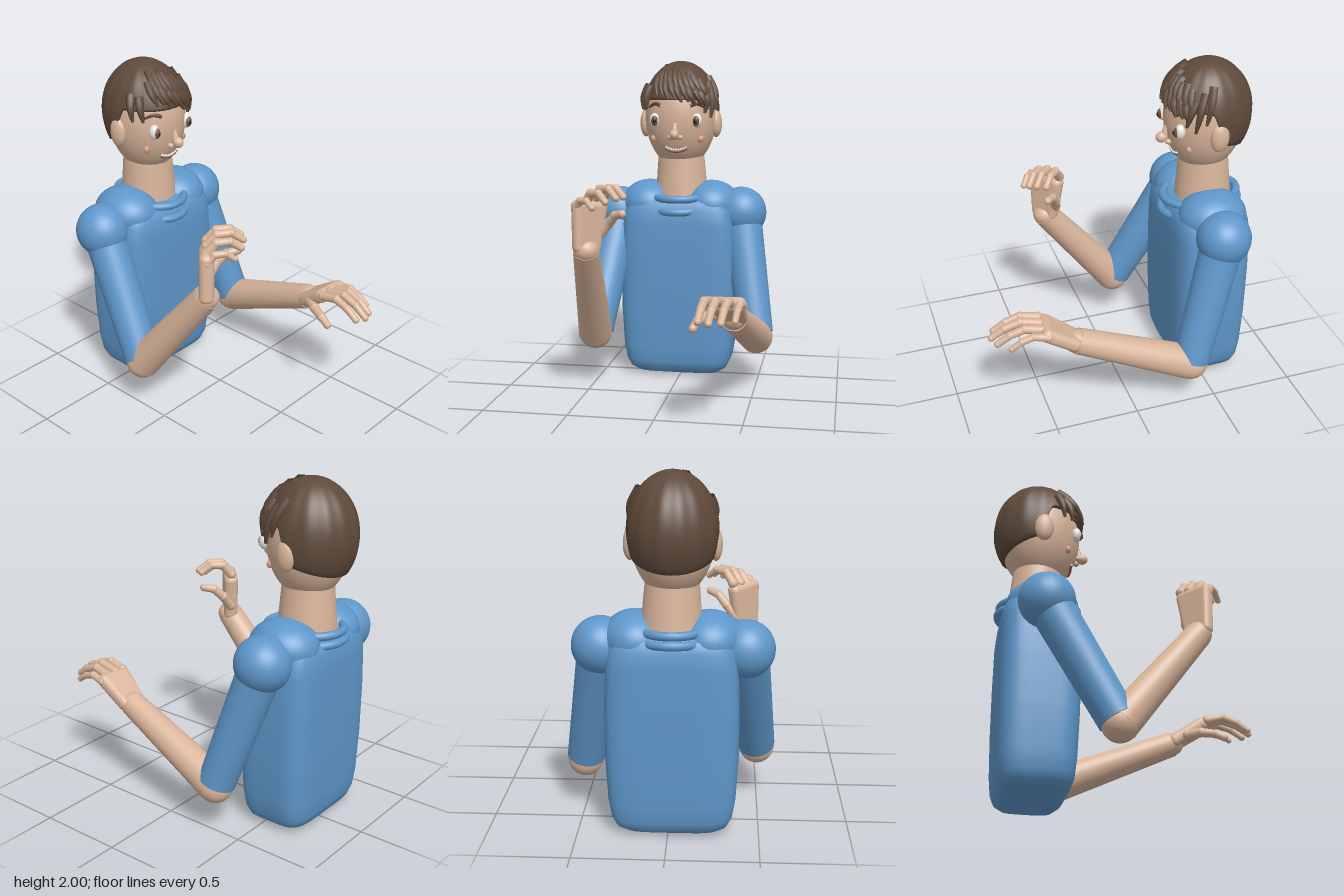
import * as THREE from 'three';
import { RoundedBoxGeometry } from 'three/addons/geometries/RoundedBoxGeometry.js';

const mat = (color, side = THREE.FrontSide) => new THREE.MeshStandardMaterial({ color, side });
const V = (x, y, z) => new THREE.Vector3(x, y, z);
const UP = V(0, 1, 0);

export function createModel() {
  const root = new THREE.Group();
  const skin = mat(0xd9b59b), shirt = mat(0x5f97ca), brown = mat(0x5f4a3b, THREE.DoubleSide);
  const white = mat(0xe8e6e2), iris = mat(0x7a5238), dark = mat(0x2a211c), blush = mat(0xd99c86), lip = mat(0xa8655a);

  const add = (parent, name, geo, material) => {
    const m = new THREE.Mesh(geo, material);
    m.name = name;
    parent.add(m);
    return m;
  };
  const ball = (parent, name, p, rx, ry, rz, material, seg = 24) => {
    const m = add(parent, name, new THREE.SphereGeometry(1, seg, Math.round(seg * 0.7)), material);
    m.position.copy(p);
    m.scale.set(rx, ry, rz);
    return m;
  };
  // Tapered cylinder between two points
  const limb = (parent, name, a, b, ra, rb, material, seg = 28) => {
    const d = b.clone().sub(a);
    const m = add(parent, name, new THREE.CylinderGeometry(rb, ra, d.length(), seg), material);
    m.position.copy(a).addScaledVector(d, 0.5);
    m.quaternion.setFromUnitVectors(UP, d.normalize());
    return m;
  };
  // Closed rings stacked from bottom to top; at(i, t) gives a point
  const loft = (rows, cols, at) => {
    const pos = [], idx = [];
    for (let i = 0; i < rows; i++) for (let j = 0; j < cols; j++) {
      pos.push(...at(i, (j / cols) * Math.PI * 2));
      if (i < rows - 1) {
        const k = (j + 1) % cols, a = i * cols + j, b = i * cols + k;
        idx.push(a, a + cols, b, b, a + cols, b + cols);
      }
    }
    const g = new THREE.BufferGeometry();
    g.setAttribute('position', new THREE.Float32BufferAttribute(pos, 3));
    g.setIndex(idx);
    g.computeVertexNormals();
    return g;
  };
  // Round strand that narrows toward its tip
  const strand = (parent, name, pts, r, tip, material) => {
    const n = 10, sides = 8;
    const curve = new THREE.CatmullRomCurve3(pts), geo = new THREE.TubeGeometry(curve, n, r, sides);
    const p = geo.attributes.position, v = V(0, 0, 0);
    for (let i = 0; i < p.count; i++) {
      const t = Math.floor(i / (sides + 1)) / n, c = curve.getPointAt(t);
      v.fromBufferAttribute(p, i).sub(c).multiplyScalar(1 + (tip - 1) * t * t).add(c);
      p.setXYZ(i, v.x, v.y, v.z);
    }
    geo.computeVertexNormals();
    return add(parent, name, geo, material);
  };

  // Torso: rounded-square sections [y, half width, half depth]
  const body = new THREE.Group();
  body.name = 'body';
  root.add(body);
  const sections = [[0.005, 0, 0], [0.008, 0.18, 0.1], [0.02, 0.265, 0.155], [0.05, 0.31, 0.19], [0.1, 0.335, 0.208],
    [0.2, 0.352, 0.218], [0.45, 0.366, 0.226], [0.75, 0.366, 0.23], [0.98, 0.355, 0.23], [1.07, 0.34, 0.222],
    [1.12, 0.31, 0.2], [1.15, 0.26, 0.165], [1.16, 0, 0]];
  const sq = (c) => Math.sign(c) * Math.pow(Math.abs(c), 0.42);
  add(body, 'torso', loft(sections.length, 64, (i, t) => {
    const [y, w, d] = sections[i];
    return [-0.02 + w * sq(Math.cos(t)), y, -0.562 + d * sq(Math.sin(t))];
  }), shirt);
  for (const s of [-1, 1]) ball(body, 'shoulderPad', V(-0.02 + s * 0.2, 1.1, -0.565), 0.18, 0.15, 0.205, shirt, 32);
  // Collar: two rolled rings
  for (const [y, rx, rz, sag] of [[1.155, 0.18, 0.225, 0.01], [1.09, 0.19, 0.235, 0.025]]) {
    const pts = [];
    for (let i = 0; i < 24; i++) {
      const a = (i / 24) * Math.PI * 2;
      pts.push(V(-0.02 + rx * Math.cos(a), y - sag * Math.sin(a), -0.563 + rz * Math.sin(a)));
    }
    add(body, 'collar', new THREE.TubeGeometry(new THREE.CatmullRomCurve3(pts, true), 64, 0.024, 10, true), shirt);
  }
  limb(body, 'neck', V(-0.015, 1.1, -0.58), V(-0.02, 1.45, -0.575), 0.172, 0.142, skin, 36);

  // Head
  const head = new THREE.Group();
  head.name = 'head';
  root.add(head);
  const HC = V(-0.022, 1.66, -0.57), HR = V(0.226, 0.335, 0.237);
  const onFace = (dx, y, out = 0) => {
    const k = 1 - (dx / HR.x) ** 2 - ((y - HC.y) / HR.y) ** 2;
    return V(HC.x + dx, y, HC.z + HR.z * Math.sqrt(Math.max(k, 0)) + out);
  };
  ball(head, 'skull', HC, HR.x, HR.y, HR.z, skin, 48);
  ball(head, 'nose', onFace(0, 1.55, 0.035), 0.03, 0.032, 0.035, skin);
  limb(head, 'noseBridge', onFace(0, 1.55, 0.02), onFace(0, 1.62, -0.005), 0.024, 0.012, skin, 16);
  for (const s of [-1, 1]) {
    ball(head, 'nostril', onFace(s * 0.032, 1.532, 0.012), 0.018, 0.016, 0.02, skin, 16);
    ball(head, 'ear', V(HC.x + s * 0.226, 1.61, -0.575), 0.036, 0.088, 0.056, skin);
    ball(head, 'eye', onFace(s * 0.132, 1.635, 0.008), 0.032, 0.045, 0.03, white);
    ball(head, 'iris', onFace(s * 0.13, 1.633, 0.024), 0.021, 0.032, 0.021, iris);
    ball(head, 'pupil', onFace(s * 0.128, 1.633, 0.037), 0.01, 0.016, 0.011, dark, 16);
    ball(head, 'cheek', onFace(s * 0.148, 1.52, 0.0), 0.021, 0.024, 0.017, blush, 16);
    strand(head, 'eyebrow', [onFace(s * 0.09, 1.725, 0.006), onFace(s * 0.13, 1.737, 0.008), onFace(s * 0.172, 1.715, 0.006)], 0.012, 0.5, brown);
  }
  // Smile: a lip under a row of small teeth
  const smile = (u, dy) => onFace(u * 0.07, 1.448 + 0.02 * u * u + dy, 0.003);
  strand(head, 'lip', [-1, -0.5, 0, 0.5, 1].map((u) => smile(u, -0.006)), 0.009, 1, lip);
  for (let i = -4; i <= 4; i++) ball(head, 'tooth', smile(i / 4.6, 0.004), 0.008, 0.008, 0.008, white, 10);

  // Hair cap: an ellipsoid shell cut high in front and low behind the ears
  const CC = V(-0.022, 1.68, -0.583), CR = V(0.243, 0.32, 0.266);
  const onHair = (t, y, k = 1) => {
    const r = Math.sqrt(Math.max(0, 1 - ((y - CC.y) / CR.y) ** 2)) * k;
    return V(CC.x + CR.x * r * Math.cos(t), y, CC.z + CR.z * r * Math.sin(t));
  };
  add(head, 'hairCap', loft(26, 96, (i, t) => {
    const f = Math.sin(t), edge = 1.49 + 0.07 * (1 - Math.min(1, -Math.min(f, 0)))
      + 0.2 * THREE.MathUtils.smoothstep(f, -0.12, 0.25);
    const u = Math.max(0, i - 1) / 24;
    const y = edge + (CC.y + CR.y - edge) * Math.sin(u * Math.PI / 2);
    const k = i === 0 ? 0.86 : 1 + 0.012 * Math.cos(t * 14) * Math.sin(u * Math.PI);
    return onHair(t, y, k).toArray();
  }), brown);
  // Fringe: two overlapping rows of locks swept to the left
  for (let row = 0; row < 2; row++) for (let i = 0; i < 9; i++) {
    const t = 2.12 - i * 0.17 - row * 0.08, low = 1.79 - 0.085 * (i / 8) + row * 0.05 + 0.012 * (i % 2);
    strand(head, 'fringeLock', [onHair(t + 0.14, low + 0.12, 0.97), onHair(t + 0.06, low + 0.06, 1.05),
      onHair(t - 0.06, low, 1.06)], 0.026, 0.25, brown);
  }
  // Side locks over each temple
  for (const [t, top, low] of [[0.2, 1.9, 1.7], [0.42, 1.87, 1.65], [0.62, 1.83, 1.68], [2.52, 1.84, 1.7], [2.75, 1.85, 1.7]]) {
    const lean = t < 1.5 ? 0.16 : -0.1;
    strand(head, 'sideLock', [onHair(t, top, 1), onHair(t + lean / 2, (top + low) / 2, 1.05), onHair(t + lean, low, 1.03)], 0.026, 0.3, brown);
  }

  // Finger: tapered bones with round joints
  const finger = (parent, name, pts, r) => pts.forEach((p, i) => {
    const k = r * (1 - 0.1 * i);
    ball(parent, name + 'Joint', p, k, k, k, skin, 14);
    if (i) limb(parent, name + 'Bone', pts[i - 1], p, k * 1.04, k * 0.92, skin, 14);
  });
  // Arm: shoulder, elbow, wrist, knuckles; fingers bend along `ahead` and `up`
  const makeArm = (name, o) => {
    const arm = new THREE.Group();
    arm.name = name;
    root.add(arm);
    ball(arm, 'shoulder', o.shoulder, 0.16, 0.16, 0.16, shirt, 32);
    const sleeveEnd = o.shoulder.clone().lerp(o.elbow, 0.97);
    limb(arm, 'sleeve', o.shoulder, sleeveEnd, 0.125, 0.108, shirt, 32);
    ball(arm, 'elbow', o.elbow, 0.102, 0.102, 0.102, skin, 28);
    limb(arm, 'forearm', o.elbow, o.wrist, 0.104, 0.076, skin);
    ball(arm, 'wrist', o.wrist, 0.074, 0.07, 0.074, skin);
    // Palm, narrower at the wrist
    const mid = o.index.clone().lerp(o.pinky, 0.5), along = mid.clone().sub(o.wrist), len = along.length();
    const palm = new RoundedBoxGeometry(0.225, len + 0.04, 0.085, 4, 0.038), p = palm.attributes.position;
    for (let i = 0; i < p.count; i++) p.setX(i, p.getX(i) * (0.86 + 0.14 * p.getY(i) / (len / 2)));
    const y = along.normalize(), x = o.index.clone().sub(o.pinky);
    x.addScaledVector(y, -x.dot(y)).normalize();
    const m = add(arm, 'palm', palm, skin);
    m.quaternion.setFromRotationMatrix(new THREE.Matrix4().makeBasis(x, y, x.clone().cross(y)));
    m.position.copy(o.wrist).lerp(mid, 0.5);
    [0.93, 1, 0.94, 0.76].forEach((k, i) => {
      const base = o.index.clone().lerp(o.pinky, i / 3).addScaledVector(y, i === 1 || i === 2 ? 0.012 : 0);
      finger(arm, 'finger', o.bend.map(([a, b]) => base.clone().addScaledVector(o.ahead, a * k).addScaledVector(UP, b * k)), i === 3 ? 0.026 : 0.03);
    });
    finger(arm, 'thumb', o.thumb, 0.034);
  };
  makeArm('leftArm', {
    shoulder: V(0.37, 1.05, -0.56), elbow: V(0.495, 0.295, -0.335), wrist: V(0.43, 0.575, 0.35),
    index: V(0.31, 0.705, 0.545), pinky: V(0.495, 0.69, 0.53), ahead: V(-0.08, 0, 1).normalize(),
    bend: [[0, 0], [0.11, 0.025], [0.2, -0.005], [0.275, -0.055]],
    thumb: [V(0.34, 0.61, 0.43), V(0.29, 0.615, 0.5), V(0.255, 0.6, 0.58), V(0.24, 0.575, 0.635)],
  });
  makeArm('rightArm', {
    shoulder: V(-0.415, 1.04, -0.565), elbow: V(-0.495, 0.325, -0.17), wrist: V(-0.43, 0.92, 0.29),
    index: V(-0.345, 1.215, 0.215), pinky: V(-0.475, 1.165, 0.335), ahead: V(0.77, 0, 0.64),
    bend: [[0, 0], [0.055, 0.065], [0.135, 0.07], [0.2, 0.025]],
    thumb: [V(-0.37, 1.0, 0.24), V(-0.31, 1.07, 0.25), V(-0.26, 1.125, 0.285), V(-0.21, 1.14, 0.325)],
  });
  return root;
}
